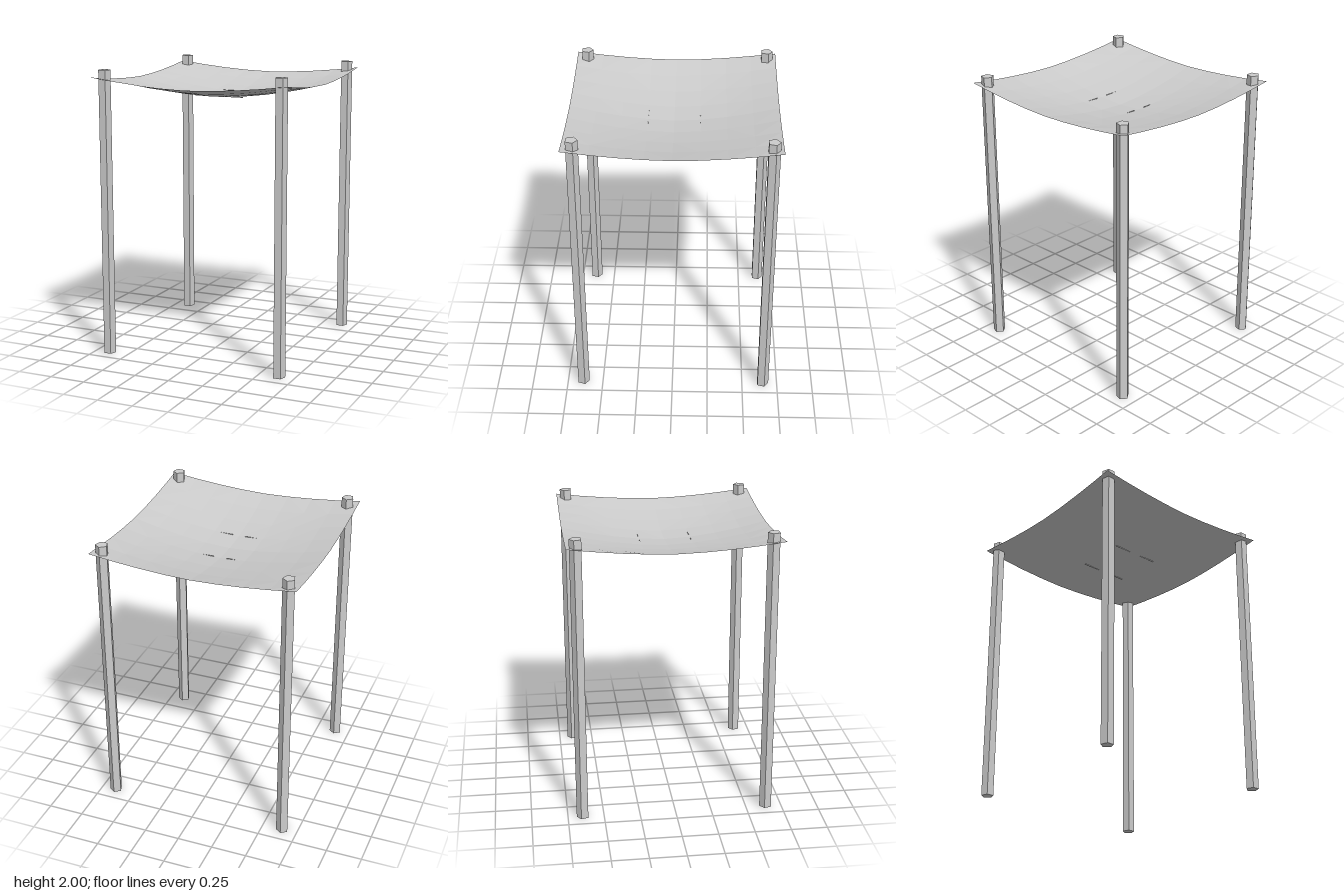
import * as THREE from 'three';

const HALF = 0.7125; // half width of the canopy
const CELLS = 8;

// Height of the sagging cloth at a point
function clothHeight(x, z) {
  const a = Math.pow(Math.abs(x) / HALF, 1.7);
  const b = Math.pow(Math.abs(z) / HALF, 1.7);
  return 1.787 + 0.108 * (a + b) - 0.052 * a * b;
}

// Square grid whose diagonals run radially inside and across the corners in the outer ring
function clothGeometry() {
  const positions = [];
  const indices = [];
  const at = (k) => (k / CELLS * 2 - 1) * HALF;
  for (let j = 0; j <= CELLS; j++) {
    for (let i = 0; i <= CELLS; i++) {
      positions.push(at(i), clothHeight(at(i), at(j)), at(j));
    }
  }
  const row = CELLS + 1;
  for (let j = 0; j < CELLS; j++) {
    for (let i = 0; i < CELLS; i++) {
      const a = j * row + i, b = a + row, c = b + 1, d = a + 1;
      const outer = i === 0 || j === 0 || i === CELLS - 1 || j === CELLS - 1;
      const sameSign = (i < CELLS / 2) === (j < CELLS / 2);
      if (sameSign !== outer) indices.push(a, b, c, a, c, d);
      else indices.push(a, b, d, b, c, d);
    }
  }
  const geometry = new THREE.BufferGeometry();
  geometry.setAttribute('position', new THREE.Float32BufferAttribute(positions, 3));
  geometry.setIndex(indices);
  const flat = geometry.toNonIndexed();
  flat.computeVertexNormals();
  return flat;
}

export function createModel() {
  const model = new THREE.Group();
  model.name = 'canopy shelter';
  const material = new THREE.MeshStandardMaterial({ color: 0xcccccc, flatShading: true });
  const clothMaterial = new THREE.MeshStandardMaterial({
    color: 0xcccccc, flatShading: true, side: THREE.DoubleSide,
  });

  const add = (name, geometry, mat, x, y, z) => {
    const mesh = new THREE.Mesh(geometry, mat);
    mesh.name = name;
    mesh.position.set(x, y, z);
    model.add(mesh);
  };

  // Cloth
  add('canopy', clothGeometry(), clothMaterial, 0, 0, 0);

  // Five-sided posts with a corner pointing back, poking through the cloth
  const post = new THREE.CylinderGeometry(0.0435, 0.0435, 2, 5).rotateY(Math.PI);
  // Short thin seams near the middle of the cloth
  const seam = new THREE.BoxGeometry(0.135, 0.006, 0.004);

  for (const sx of [-1, 1]) {
    for (const sz of [-1, 1]) {
      const label = (sz > 0 ? 'front' : 'back') + (sx > 0 ? 'Left' : 'Right');
      add(label + 'Post', post, material, sx * 0.644, 1, sz * 0.643 - 0.003);
      add(label + 'Seam', seam, material, sx * 0.1125, clothHeight(0.1125, 0.178), sz * 0.178);
    }
  }
  return model;
}
